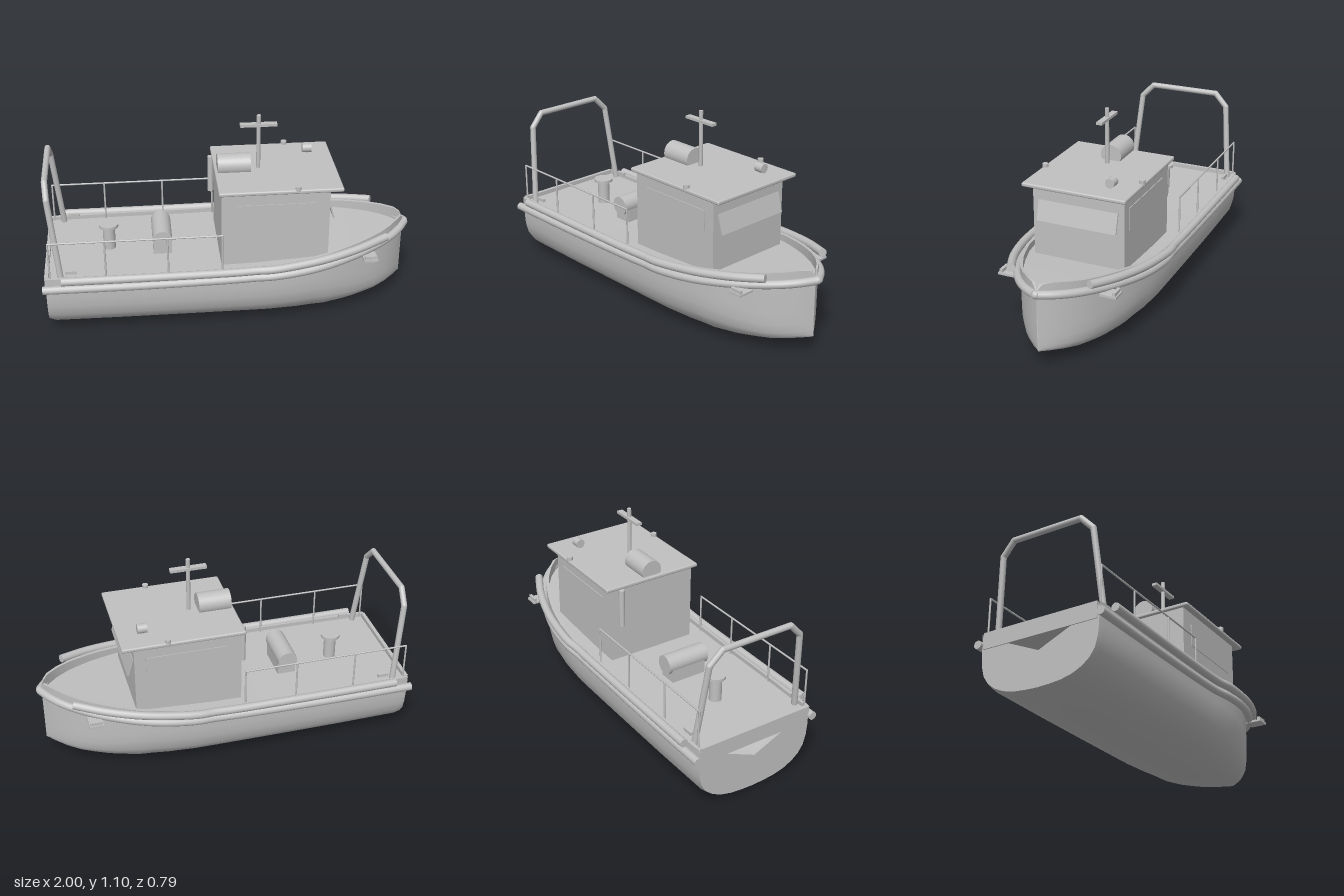
import * as THREE from 'three';
import { toCreasedNormals } from 'three/addons/utils/BufferGeometryUtils.js';
import { RoundedBoxGeometry } from 'three/addons/geometries/RoundedBoxGeometry.js';

const V = (x, y, z) => new THREE.Vector3(x, y, z);

// Surface through rows of points, all rows the same length
function loft(rows, crease = 0.5) {
  const pos = rows.flat().flatMap(p => [p.x, p.y, p.z]);
  const n = rows[0].length, index = [];
  for (let i = 0; i < rows.length - 1; i++) {
    for (let j = 0; j < n - 1; j++) {
      const a = i * n + j, b = a + n;
      index.push(a, a + 1, b, b, a + 1, b + 1);
    }
  }
  const g = new THREE.BufferGeometry();
  g.setAttribute('position', new THREE.Float32BufferAttribute(pos, 3));
  g.setIndex(index);
  return toCreasedNormals(g, crease);
}

// Linear lookup in a short list of [x, value] pairs
function lookup(table, x) {
  for (let i = 1; i < table.length; i++) {
    const [x0, v0] = table[i - 1], [x1, v1] = table[i];
    if (x <= x1) return v0 + (v1 - v0) * Math.max(0, (x - x0) / (x1 - x0));
  }
  return table[table.length - 1][1];
}

export function createModel() {
  const boat = new THREE.Group();
  boat.name = 'workboat';
  const grey = new THREE.MeshStandardMaterial({ color: 0xc0c0c0, side: THREE.DoubleSide });
  grey.name = 'paleGrey';

  const add = (name, geo, x = 0, y = 0, z = 0) => {
    const m = new THREE.Mesh(geo, grey);
    m.name = name;
    m.position.set(x, y, z);
    boat.add(m);
    return m;
  };
  const box = (name, x0, x1, y0, y1, z0, z1) =>
    add(name, new THREE.BoxGeometry(x1 - x0, y1 - y0, z1 - z0), (x0 + x1) / 2, (y0 + y1) / 2, (z0 + z1) / 2);
  const rod = (name, a, b, r, sides = 16) => {
    const d = b.clone().sub(a), mid = a.clone().add(b).multiplyScalar(0.5);
    const m = add(name, new THREE.CylinderGeometry(r, r, d.length(), sides), mid.x, mid.y, mid.z);
    m.quaternion.setFromUnitVectors(V(0, 1, 0), d.normalize());
    return m;
  };
  const fender = (name, pts, r) => {
    const curve = new THREE.CatmullRomCurve3(pts, false, 'centripetal');
    add(name, new THREE.TubeGeometry(curve, 60, r, 14));
    for (const t of [0, 1]) {
      const p = curve.getPoint(t), d = curve.getTangent(t).multiplyScalar(0.001);
      rod(name + 'End', p.clone().sub(d), p.clone().add(d), r, 14);
    }
  };

  // Hull lines: half beam, keel height, edge height and bulwark height along x
  const beam = [[-0.985, 0.335], [-0.9, 0.345], [0.2, 0.348], [0.35, 0.335], [0.5, 0.305], [0.6, 0.273],
    [0.7, 0.232], [0.8, 0.178], [0.87, 0.125], [0.93, 0.063], [0.97, 0.003]];
  const keel = [[-0.985, 0.012], [-0.95, 0], [0.5, 0], [0.62, 0.018], [0.8, 0.058], [0.97, 0.102]];
  const sheer = [[-0.985, 0.35], [0, 0.352], [0.4, 0.375], [0.7, 0.4], [0.97, 0.42]];
  const wall = [[-0.985, 0.365], [0, 0.37], [0.4, 0.4], [0.83, 0.458], [0.93, 0.475], [0.955, 0.47], [0.97, 0.44]];
  const section = [[1, 0.35], [1, 0.25], [0.985, 0.19], [0.94, 0.13], [0.86, 0.088], [0.74, 0.053],
    [0.58, 0.026], [0.4, 0.01], [0.2, 0.003], [0, 0]];
  const stations = [-0.985, -0.95, -0.6, -0.2, 0.1, 0.2, 0.28, 0.35, 0.43, 0.5, 0.56, 0.62, 0.68, 0.74,
    0.8, 0.84, 0.87, 0.9, 0.93, 0.955, 0.97];

  const hullRows = stations.map(x => {
    const w = lookup(beam, x), k = lookup(keel, x), s = lookup(sheer, x);
    const flat = THREE.MathUtils.smoothstep(x, 0.4, 0.95);
    const half = section.map(([u, y], j) => {
      const f = y / 0.35 * (j === 0 ? 1 : 1 - flat * (0.9 - 0.6 * f2(y)));
      return V(x, k + (s - k) * f, w * u);
    });
    return [...half, ...half.slice(0, -1).reverse().map(p => V(p.x, p.y, -p.z))];
  });
  function f2(y) { return Math.min(1, y / 0.3); }
  add('hull', loft(hullRows, 0.6));
  // Flat transom closes the stern
  add('transom', loft([hullRows[0].map(() => V(-0.985, 0.2, 0)), hullRows[0]]));
  box('transomRim', -0.99, -0.97, 0.28, 0.368, -0.325, 0.325);

  // Deck follows the hull edge
  add('deck', loft(stations.map(x => {
    const w = lookup(beam, x), y = lookup(sheer, x) - 0.006;
    return [V(x, y, -w), V(x, y, 0), V(x, y, w)];
  })));

  for (const s of [1, -1]) {
    // Bulwark with an inner face, outer face and cap
    add('bulwark', loft(stations.map(x => {
      const w = lookup(beam, x), b = lookup(sheer, x) - 0.02, t = lookup(wall, x);
      const inner = Math.max(0, w - 0.015);
      return [V(x, b, s * (w + 0.003)), V(x, t, s * (w + 0.003)), V(x, t, s * inner), V(x, b, s * inner)];
    })));

    // Round fenders
    fender('lowerFender', [[-1, 0.308, 0.352], [-0.5, 0.308, 0.352], [0, 0.316, 0.352], [0.12, 0.322, 0.354],
      [0.2, 0.328, 0.362], [0.35, 0.342, 0.355], [0.5, 0.358, 0.326], [0.7, 0.383, 0.25], [0.85, 0.403, 0.158],
      [0.93, 0.414, 0.08], [0.977, 0.42, 0.008]].map(p => V(p[0], p[1], s * p[2])), 0.022);
    fender('upperFender', [[-0.9, 0.364, 0.366], [-0.4, 0.364, 0.366], [0, 0.367, 0.366], [0.12, 0.372, 0.367],
      [0.2, 0.378, 0.375], [0.35, 0.391, 0.363], [0.5, 0.406, 0.338], [0.68, 0.428, 0.284],
      [0.83, 0.448, 0.215]].map(p => V(p[0], p[1], s * p[2])), 0.022);

    // Cleats and side plates
    box('sternCleat', -0.88, -0.82, 0.375, 0.392, s * 0.307 - 0.008, s * 0.307 + 0.008);
    box('bowPlate', 0.695, 0.77, 0.36, 0.372, s * 0.28 - 0.045, s * 0.28 + 0.045);
    box('bowCleat', 0.7, 0.765, 0.372, 0.39, s * 0.31 - 0.008, s * 0.31 + 0.008);

    // Side railing
    rod('railingTop', V(-0.96, 0.568, s * 0.325), V(-0.06, 0.568, s * 0.325), 0.005, 8);
    for (const x of [-0.96, -0.67, -0.345, -0.062]) {
      rod('railingPost', V(x, 0.345, s * 0.325), V(x, 0.57, s * 0.325), 0.005, 8);
    }

    // Stern gantry legs
    const foot = V(-0.905, 0.345, s * 0.308), knee = V(-0.95, 0.79, s * 0.268), top = V(-0.957, 0.862, s * 0.2);
    rod('gantryLeg', foot, knee, 0.016);
    rod('gantryShoulder', knee, top, 0.016);
    for (const p of [knee, top]) add('gantryJoint', new THREE.SphereGeometry(0.016, 14, 10), p.x, p.y, p.z);

    // Cabin side window and roof lamp
    box('sideWindow', 0.02, 0.45, 0.575, 0.7, s * 0.254 - 0.003, s * 0.254 + 0.003);
    rod('roofLamp', V(0.335, 0.78, s * 0.272), V(0.335, 0.81, s * 0.272), 0.016);
  }
  rod('gantryCrossbar', V(-0.957, 0.862, -0.2), V(-0.957, 0.862, 0.2), 0.016);
  add('stemJoint', new THREE.SphereGeometry(0.022, 14, 10), 0.978, 0.42, 0);

  // Cabin
  box('cabin', -0.06, 0.51, 0.34, 0.772, -0.253, 0.253);
  add('roof', new RoundedBoxGeometry(0.65, 0.022, 0.57, 2, 0.008), 0.25, 0.781, 0);
  const visor = box('frontWindow', 0.521, 0.529, 0.58, 0.69, -0.22, 0.22);
  visor.rotation.z = 0.27;
  rod('exhaustPipe', V(-0.08, 0.56, -0.2), V(-0.08, 0.77, -0.2), 0.016);

  // Roof equipment
  rod('raftCanister', V(-0.06, 0.818, 0), V(0.115, 0.818, 0), 0.058, 32);
  rod('mast', V(0.16, 0.78, 0), V(0.16, 1.095, 0), 0.011);
  box('mastCrossbar', 0.062, 0.257, 1.033, 1.048, -0.016, 0.016);
  rod('searchlight', V(0.42, 0.82, -0.155), V(0.47, 0.82, -0.155), 0.025, 24);
  rod('searchlightStem', V(0.445, 0.78, -0.155), V(0.445, 0.82, -0.155), 0.009);

  // Deck winch and towing bollard
  box('winchBase', -0.415, -0.315, 0.34, 0.435, -0.1, 0.1);
  rod('winchDrum', V(-0.365, 0.436, -0.12), V(-0.365, 0.436, 0.12), 0.053, 28);
  rod('bollard', V(-0.65, 0.34, 0), V(-0.65, 0.476, 0), 0.033, 24);
  rod('bollardCap', V(-0.65, 0.474, 0), V(-0.65, 0.49, 0), 0.052, 24);

  return boat;
}
